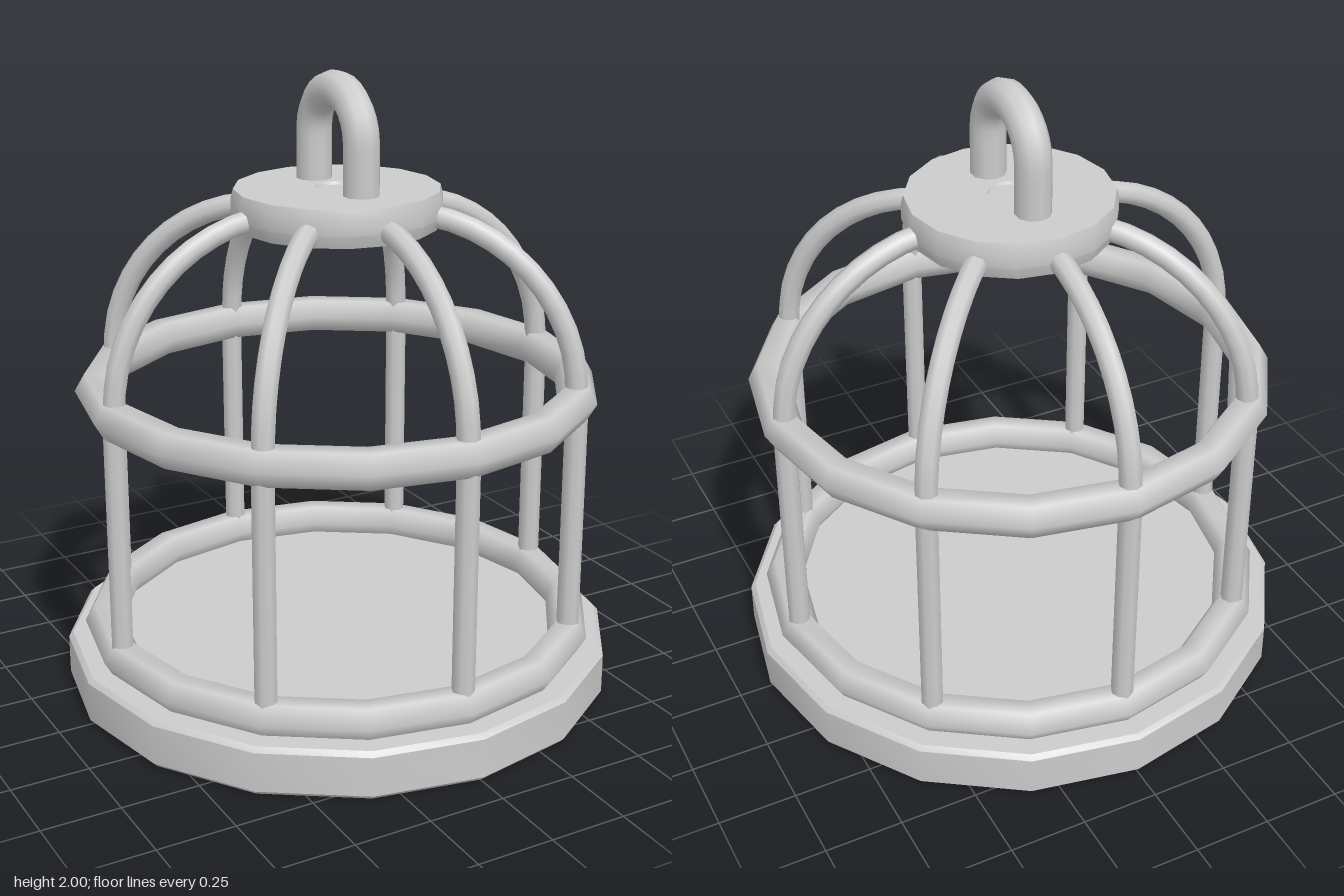
import * as THREE from 'three';
import { toCreasedNormals } from 'three/addons/utils/BufferGeometryUtils.js';

const material = new THREE.MeshStandardMaterial({ color: 0xcccccc });
const SIDES = 16, BARS = 8, RING_R = 0.775, BAR_R = 0.036;

function part(name, geometry) {
  const mesh = new THREE.Mesh(geometry, material);
  mesh.name = name;
  return mesh;
}

// Turned solid from [radius, height] pairs, bottom to top
function turned(name, points) {
  const profile = points.map(([r, y]) => new THREE.Vector2(r, y));
  return part(name, toCreasedNormals(new THREE.LatheGeometry(profile, SIDES), 0.5));
}

function hoop(name, y) {
  const geometry = new THREE.TorusGeometry(RING_R, 0.063, 6, SIDES);
  geometry.rotateX(Math.PI / 2);
  const mesh = part(name, geometry);
  mesh.position.y = y;
  return mesh;
}

// Semicircular or quarter arc sampled in a plane
function arc(count, from, to, place) {
  return Array.from({ length: count + 1 }, (_, i) => {
    const a = from + (to - from) * i / count;
    return place(Math.cos(a), Math.sin(a));
  });
}

export function createModel() {
  const cage = new THREE.Group();
  cage.name = 'birdcage';

  // Chamfered floor plate
  cage.add(turned('base', [
    [0, 0], [0.88, 0], [0.895, 0.015], [0.895, 0.143], [0.88, 0.158], [0, 0.158],
  ]));

  // Horizontal hoops
  cage.add(hoop('lowerHoop', 0.198), hoop('upperHoop', 1.0));

  // Upright bars with curved dome ribs above them
  const barGeometry = new THREE.CylinderGeometry(BAR_R, BAR_R, 0.85, 8);
  const ribPath = new THREE.CatmullRomCurve3(arc(8, 0, Math.PI / 2,
    (c, s) => new THREE.Vector3(0.22 + 0.553 * c, 1.02 + 0.553 * s, 0)));
  const ribGeometry = new THREE.TubeGeometry(ribPath, 12, BAR_R, 8);
  for (let i = 0; i < BARS; i++) {
    const spoke = new THREE.Group();
    spoke.name = 'barAndRib';
    const bar = part('bar', barGeometry);
    bar.position.set(RING_R, 0.575, 0);
    spoke.add(bar, part('domeRib', ribGeometry));
    spoke.rotation.y = i * Math.PI * 2 / BARS;
    cage.add(spoke);
  }

  // Crown disc with a shallow dimple
  cage.add(turned('crown', [
    [0, 1.52], [0.318, 1.52], [0.333, 1.56], [0.333, 1.61], [0.325, 1.64],
    [0.07, 1.64], [0.065, 1.63], [0, 1.63],
  ]));

  // Hanging loop: two straight legs joined by a half circle
  const HALF = 0.15, SPRING = 1.793;
  const loopPath = new THREE.CurvePath();
  const bend = new THREE.CatmullRomCurve3(arc(12, 0, Math.PI,
    (c, s) => new THREE.Vector3(0, SPRING + HALF * s, HALF * c)));
  loopPath.add(new THREE.LineCurve3(
    new THREE.Vector3(0, 1.58, HALF), new THREE.Vector3(0, SPRING, HALF)));
  loopPath.add(bend);
  loopPath.add(new THREE.LineCurve3(
    new THREE.Vector3(0, SPRING, -HALF), new THREE.Vector3(0, 1.58, -HALF)));
  cage.add(part('hangingLoop', new THREE.TubeGeometry(loopPath, 28, 0.057, 10)));

  return cage;
}
